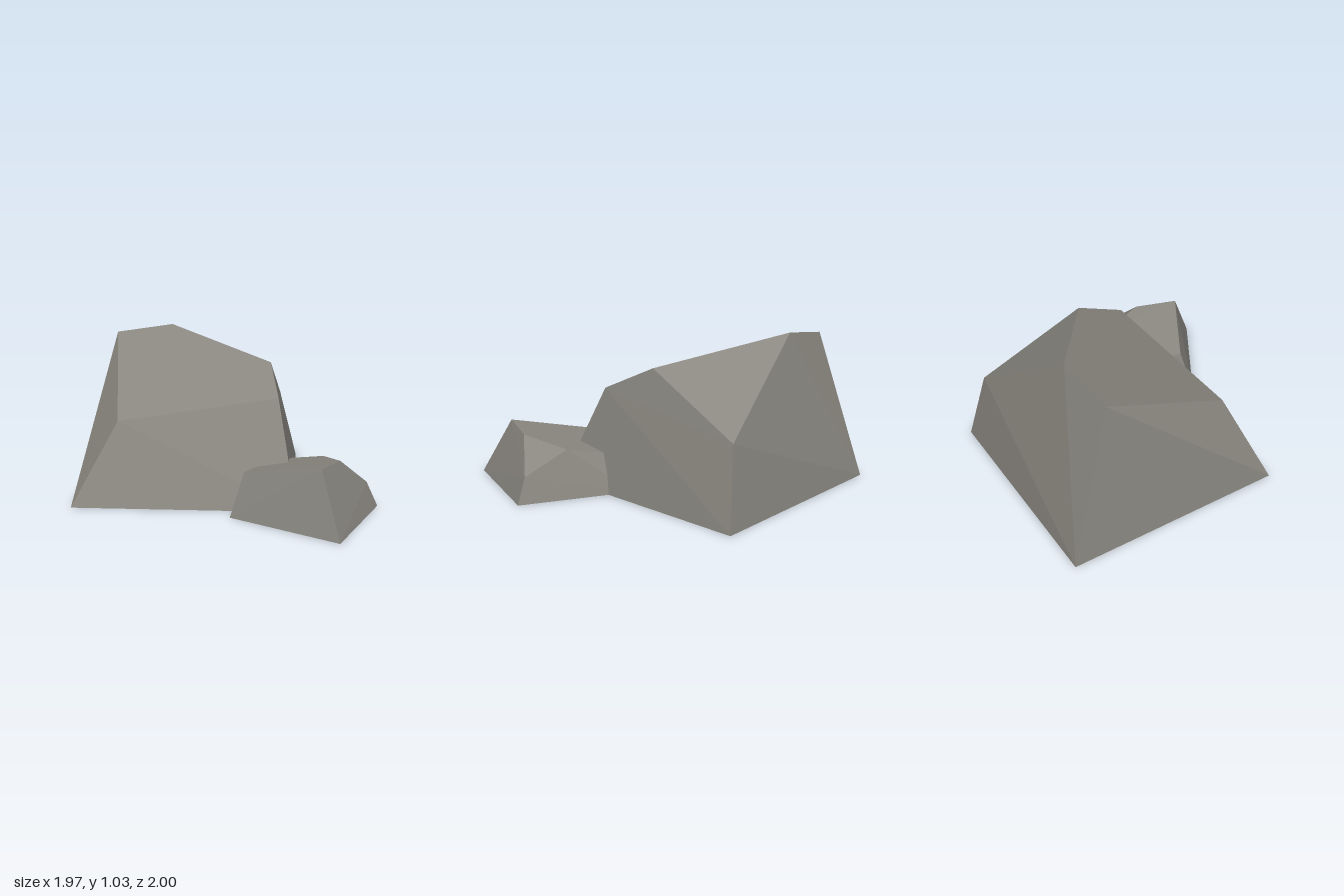
import * as THREE from 'three';
import { ConvexGeometry } from 'three/addons/geometries/ConvexGeometry.js';

const stone = new THREE.MeshStandardMaterial({ color: 0x8a8780 });
stone.name = 'stoneGrey';

// A faceted boulder: the convex hull of its ground corners and its chipped upper corners
function makeRock(name, ground, upper) {
  const corners = [
    ...ground.map(([x, z]) => new THREE.Vector3(x, 0, z)),
    ...upper.map((p) => new THREE.Vector3(...p)),
  ];
  const rock = new THREE.Mesh(new ConvexGeometry(corners), stone);
  rock.name = name;
  return rock;
}

export function createModel() {
  const model = new THREE.Group();
  model.name = 'rocks';

  // Large boulder with a sloping top
  model.add(makeRock(
    'largeRock',
    [[-0.985, -1], [0.46, -1], [0.46, 0.45], [-0.985, 0.45]],
    [
      [-0.86, 0.98, -0.7],
      [-0.46, 1.035, -0.735],
      [0.335, 0.51, -0.91],
      [0.275, 0.845, -0.22],
      [0.335, 0.67, 0.145],
      [-0.705, 0.525, 0.245],
    ],
  ));

  // Small boulder, partly sunk into the large one
  model.add(makeRock(
    'smallRock',
    [[0.705, 0.995], [0.98, 0.285], [0.31, -0.08], [0.045, 0.58]],
    [
      [0.13, 0.28, 0.52],
      [0.6, 0.385, 0.795],
      [0.72, 0.362, 0.52],
      [0.905, 0.165, 0.3],
      [0.63, 0.305, 0.205],
      [0.33, 0.238, 0.05],
    ],
  ));

  return model;
}
